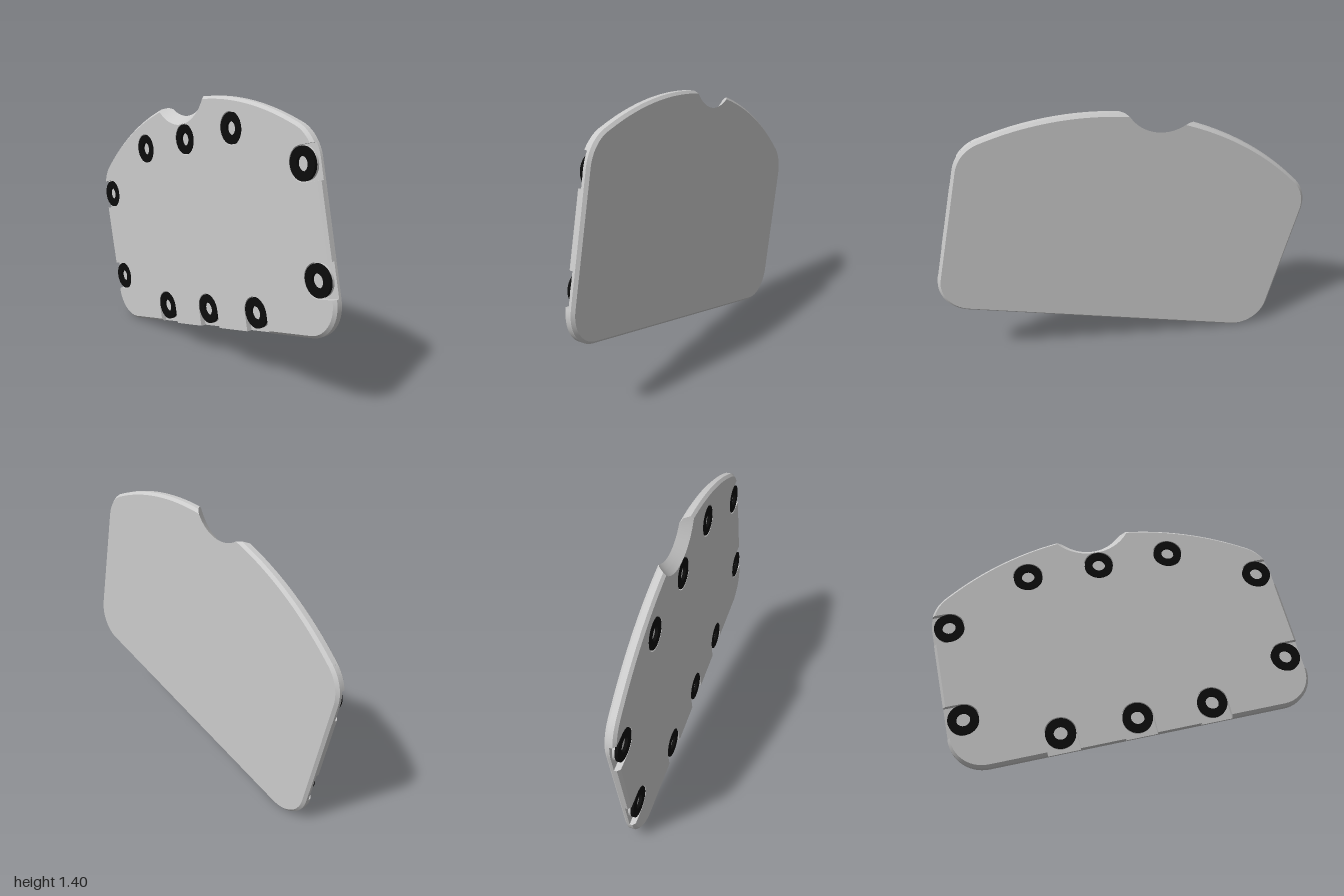
import * as THREE from 'three';
import { mergeGeometries, toCreasedNormals } from 'three/addons/utils/BufferGeometryUtils.js';

const PI = Math.PI;
const BACK = -0.028, FRONT = 0.028, CHAMFER = 0.014;
const HALF_W = 0.948, BOTTOM = 0.15, POCKET_R = 0.083;
const ROW_X = 0.397, ROW_Y = 0.248, TOP_Y = 1.16, SIDE_X = 0.857, SIDE_Y = [0.417, 0.936];

function arc(out, cx, cy, r, a0, a1, n) {
  for (let i = 0; i <= n; i++) {
    const a = a0 + (a1 - a0) * i / n;
    out.push(new THREE.Vector2(cx + r * Math.cos(a), cy + r * Math.sin(a)));
  }
}

// Plate outline at height z, shrunk by inset; slots cuts the pockets that open to the edge
function outline(z, inset, slots) {
  const p = [];
  const add = (x, y) => p.push(new THREE.Vector2(x, y));
  const w = HALF_W - inset, b = BOTTOM + inset, r = POCKET_R;

  // bottom edge, from the middle outwards
  if (slots) {
    arc(p, 0, ROW_Y, r, PI / 2, 0, 10);
    add(r, BOTTOM);
    add(ROW_X - r, BOTTOM);
    arc(p, ROW_X, ROW_Y, r, PI, 0, 20);
    add(ROW_X + r, b);
  } else add(0, b);

  // lower corner and side edge
  arc(p, HALF_W - 0.18, BOTTOM + 0.18, 0.18 - inset, -PI / 2, 0, 14);
  if (slots) SIDE_Y.forEach((y, i) => {
    add(w, y - r);
    arc(p, SIDE_X, y, r, -PI / 2, -1.5 * PI, 20);
    if (i === 0) add(w, y + r);
  });

  // upper corner, running into the large top arc
  const fx = HALF_W - 0.2, fy = 0.948, fr = 0.2 - inset, cy = -0.236, R = 1.6 - inset;
  const start = slots ? Math.asin((SIDE_Y[1] + r - fy) / fr) : 0;
  const join = Math.atan2(fy - cy, fx);
  arc(p, fx, fy, fr, start, join, 12);

  // top arc up to the conical notch
  const ny = 1.495, nr = 0.2325 + 0.8 * z, d = ny - cy;
  const h = (R * R - nr * nr + d * d) / (2 * d);
  const end = PI / 2 - Math.acos(h / R);
  const arcPts = [];
  arc(arcPts, 0, cy, R, join, end, 24);
  p.push(...arcPts.slice(1));
  const notch = [];
  arc(notch, 0, ny, nr, Math.atan2(h - d, R * Math.cos(end)), -PI / 2, 16);
  p.push(...notch.slice(1));

  // mirror to the other half
  const mirrored = p.slice(1, -1).reverse().map(v => new THREE.Vector2(-v.x, v.y));
  return p.concat(mirrored);
}

function clean(g) {
  const n = g.index ? g.toNonIndexed() : g;
  n.deleteAttribute('normal');
  n.deleteAttribute('uv');
  return n;
}

// Walls between successive rings of [points, z]
function walls(rings) {
  const pos = [];
  for (let k = 0; k + 1 < rings.length; k++) {
    const [a, za] = rings[k], [b, zb] = rings[k + 1];
    for (let i = 0; i < a.length; i++) {
      const j = (i + 1) % a.length;
      pos.push(a[i].x, a[i].y, za, a[j].x, a[j].y, za, b[j].x, b[j].y, zb);
      pos.push(a[i].x, a[i].y, za, b[j].x, b[j].y, zb, b[i].x, b[i].y, zb);
    }
  }
  const g = new THREE.BufferGeometry();
  g.setAttribute('position', new THREE.Float32BufferAttribute(pos, 3));
  return g;
}

function cap(points, holes, z, facesBack) {
  const shape = new THREE.Shape(points);
  shape.holes = holes.map(h => new THREE.Path(h));
  const g = new THREE.ShapeGeometry(shape);
  if (facesBack) g.index.array.reverse();
  return clean(g.translate(0, 0, z));
}

export function createModel() {
  const model = new THREE.Group();
  const tilted = new THREE.Group();
  tilted.name = 'tiltedPlate';
  tilted.rotation.z = THREE.MathUtils.degToRad(13.2);
  model.add(tilted);

  const grey = new THREE.MeshStandardMaterial({ color: 0xcccccc });
  const black = new THREE.MeshStandardMaterial({ color: 0x0c0c0c });
  const addMesh = (name, geometry, material, x = 0, y = 0, z = 0) => {
    const mesh = new THREE.Mesh(geometry, material);
    mesh.name = name;
    mesh.position.set(x + 0.152, y, z);
    tilted.add(mesh);
  };
  const build = parts => toCreasedNormals(mergeGeometries(parts), PI / 7);

  // solid back layer with a chamfered rear edge
  const backRings = [[BACK, CHAMFER], [BACK + CHAMFER, 0], [0, 0]]
    .map(([z, inset]) => [outline(z, inset, false), z]);
  addMesh('backPlate', build([
    walls(backRings),
    cap(backRings[0][0], [], BACK, true),
    cap(backRings[2][0], [], 0, false),
  ]), grey);

  // front layer with open edge pockets and three round pockets
  const frontRings = [[0, 0], [FRONT - CHAMFER, 0], [FRONT, CHAMFER]]
    .map(([z, inset]) => [outline(z, inset, true), z]);
  const holes = [-ROW_X, 0, ROW_X].map(x => {
    const pts = [];
    arc(pts, x, TOP_Y, POCKET_R, 2 * PI, 0, 40);
    return pts.slice(0, -1);
  });
  addMesh('frontPlate', build([
    walls(frontRings),
    ...holes.map(h => walls([[h, 0], [h, FRONT]])),
    cap(frontRings[2][0], holes, FRONT, false),
  ]), grey);

  // a pad and a black ring in every pocket
  const ring = new THREE.Shape().absarc(0, 0, 0.078, 0, 2 * PI);
  ring.holes.push(new THREE.Path().absarc(0, 0, 0.035, 0, 2 * PI, true));
  const ringGeo = new THREE.ExtrudeGeometry(ring, { depth: 0.015, bevelEnabled: false, curveSegments: 20 });
  const padGeo = new THREE.CylinderGeometry(0.077, 0.077, 0.013, 40).rotateX(PI / 2);
  const spots = [];
  for (const x of [-ROW_X, 0, ROW_X]) spots.push([x, ROW_Y], [x, TOP_Y]);
  for (const s of [-1, 1]) for (const y of SIDE_Y) spots.push([s * SIDE_X, y]);
  for (const [x, y] of spots) {
    addMesh('pocketPad', padGeo, grey, x, y, 0.0065);
    addMesh('pocketRing', ringGeo, black, x, y, 0.013);
  }
  return model;
}
